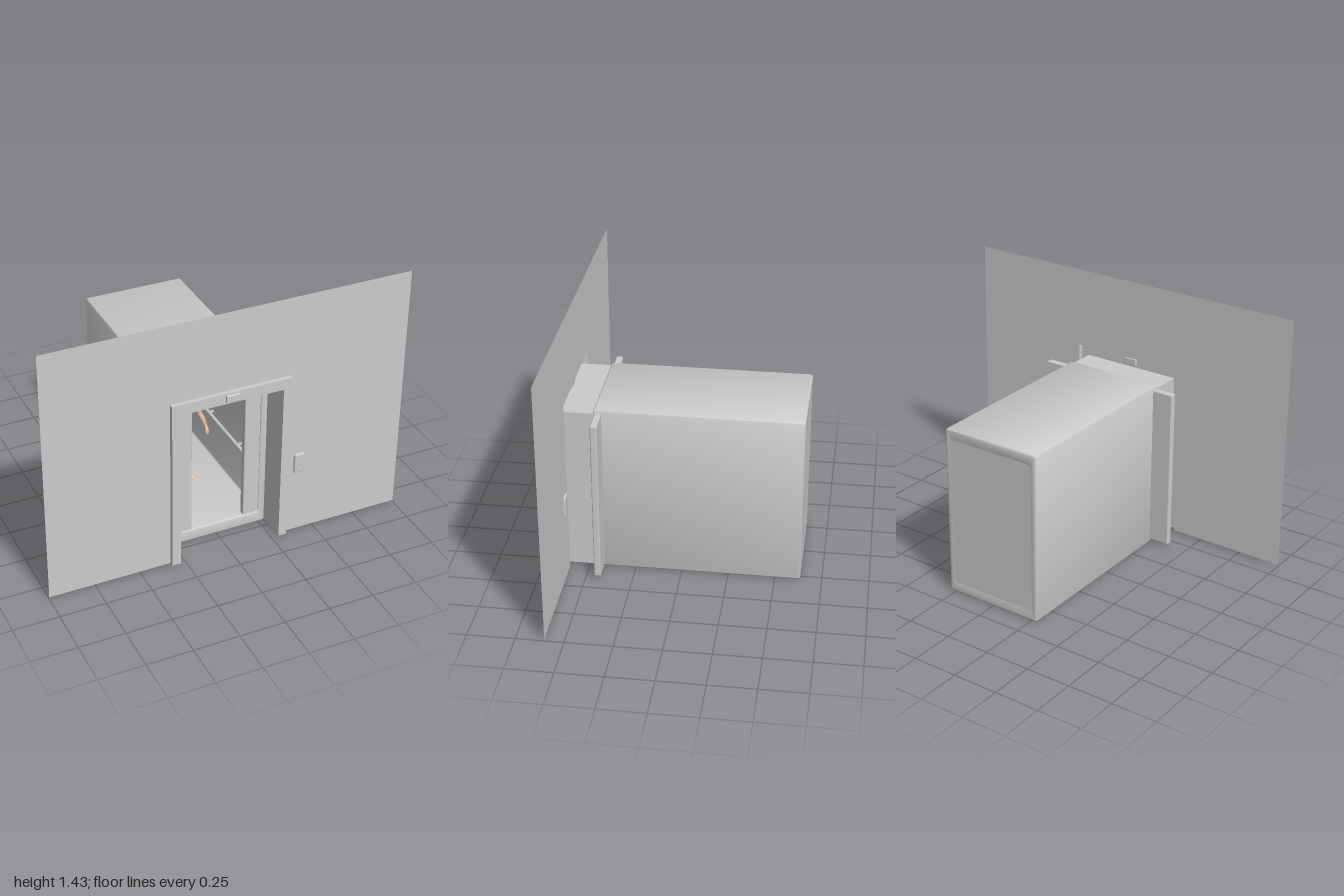
import * as THREE from 'three';
import { toCreasedNormals } from 'three/addons/utils/BufferGeometryUtils.js';
import { RoundedBoxGeometry } from 'three/addons/geometries/RoundedBoxGeometry.js';

const grey = new THREE.MeshStandardMaterial({ color: 0xcccccc });
const greyThin = new THREE.MeshStandardMaterial({ color: 0xcccccc, side: THREE.DoubleSide });
const skin = new THREE.MeshStandardMaterial({ color: 0xe3bda3 });

function add(parent, name, geometry, material = grey, x = 0, y = 0, z = 0) {
  const mesh = new THREE.Mesh(geometry, material);
  mesh.name = name;
  mesh.position.set(x, y, z);
  parent.add(mesh);
  return mesh;
}

// Rounded rectangle outline from its edges
function roundRect(x0, y0, x1, y1, r, Type = THREE.Shape) {
  const s = new Type();
  s.moveTo(x0 + r, y0);
  s.lineTo(x1 - r, y0);
  s.absarc(x1 - r, y0 + r, r, -Math.PI / 2, 0);
  s.lineTo(x1, y1 - r);
  s.absarc(x1 - r, y1 - r, r, 0, Math.PI / 2);
  s.lineTo(x0 + r, y1);
  s.absarc(x0 + r, y1 - r, r, Math.PI / 2, Math.PI);
  s.lineTo(x0, y0 + r);
  s.absarc(x0 + r, y0 + r, r, Math.PI, Math.PI * 1.5);
  return s;
}

// Flat sheet with a doorway cut up from its lower edge
function archSheet(w, h, holeW, holeH, y0) {
  const pts = [[-w, y0], [-holeW, y0], [-holeW, holeH], [holeW, holeH],
    [holeW, y0], [w, y0], [w, h], [-w, h]];
  return new THREE.ShapeGeometry(new THREE.Shape(pts.map(p => new THREE.Vector2(...p))));
}

// Three thin walls (left, top, right) running from z0 to z1
function archLining(parent, name, w, h, y0, z0, z1) {
  const depth = z1 - z0, zc = (z0 + z1) / 2;
  for (const s of [-1, 1]) {
    add(parent, name + 'Side', new THREE.PlaneGeometry(depth, h - y0), greyThin, s * w, (h + y0) / 2, zc)
      .rotation.y = s * Math.PI / 2;
  }
  add(parent, name + 'Top', new THREE.PlaneGeometry(2 * w, depth), greyThin, 0, h, zc)
    .rotation.x = -Math.PI / 2;
}

// Smooth skin over horizontal ellipses [x, y, z, rx, rz], listed from top to bottom
function loft(rings, seg = 20, sub = 4) {
  const at = (i, k) => rings[Math.max(0, Math.min(rings.length - 1, i))][k];
  const pos = [], idx = [];
  const rows = (rings.length - 1) * sub;
  for (let r = 0; r <= rows; r++) {
    const i = Math.min(Math.floor(r / sub), rings.length - 2), t = r / sub - i;
    const v = [0, 1, 2, 3, 4].map(k => {
      const a = at(i - 1, k), b = at(i, k), c = at(i + 1, k), d = at(i + 2, k);
      return b + 0.5 * t * (c - a + t * (2 * a - 5 * b + 4 * c - d + t * (3 * (b - c) + d - a)));
    });
    const rx = Math.max(v[3], 0.0005), rz = Math.max(v[4], 0.0005);
    for (let j = 0; j < seg; j++) {
      const a = j / seg * Math.PI * 2;
      pos.push(v[0] + rx * Math.cos(a), v[1], v[2] + rz * Math.sin(a));
      if (r < rows) {
        const p = r * seg + j, q = r * seg + (j + 1) % seg;
        idx.push(p, q, p + seg, q, q + seg, p + seg);
      }
    }
  }
  const g = new THREE.BufferGeometry();
  g.setAttribute('position', new THREE.Float32BufferAttribute(pos, 3));
  g.setIndex(idx);
  g.computeVertexNormals();
  return g;
}

function buildCar() {
  const car = new THREE.Group();
  car.name = 'elevatorCar';
  // Hollow cabin, open at the front
  const b = 0.01;
  const shell = roundRect(-0.285, 0, 0.285, 0.945, 0.015);
  shell.holes.push(roundRect(-0.245, 0.07, 0.245, 0.88, 0.015, THREE.Path));
  const shellGeo = new THREE.ExtrudeGeometry(shell, {
    depth: 1.093 - 2 * b, bevelThickness: b, bevelSize: b, bevelOffset: -b, bevelSegments: 3, curveSegments: 5,
  });
  add(car, 'cabinShell', toCreasedNormals(shellGeo, 0.7), grey, 0, 0, -0.635 + b);
  add(car, 'cabinBackWall', new THREE.BoxGeometry(0.51, 0.83, 0.04), grey, 0, 0.475, -0.615);

  // Sliding doors, half open
  for (const x of [-0.272, 0.29]) {
    add(car, 'slidingDoor', new RoundedBoxGeometry(0.262, 0.905, 0.036, 3, 0.007), grey, x, 0.4725, 0.434);
  }

  // Handrail round three walls
  const rail = new THREE.Group();
  rail.name = 'handrail';
  car.add(rail);
  const y = 0.38, rx = 0.215, zBack = -0.565, zFront = 0.33;
  add(rail, 'backRail', new THREE.CylinderGeometry(0.01, 0.01, 2 * rx, 12), grey, 0, y, zBack).rotation.z = Math.PI / 2;
  for (const s of [-1, 1]) {
    add(rail, 'sideRail', new THREE.CylinderGeometry(0.01, 0.01, zFront - zBack, 12), grey, s * rx, y, (zFront + zBack) / 2)
      .rotation.x = Math.PI / 2;
    add(rail, 'railCorner', new THREE.SphereGeometry(0.01, 12, 8), grey, s * rx, y, zBack);
    for (const z of [-0.45, -0.1, 0.25]) {
      add(rail, 'railBracket', new THREE.BoxGeometry(0.035, 0.01, 0.01), grey, s * 0.23, y, z);
    }
    add(rail, 'railBracket', new THREE.BoxGeometry(0.01, 0.01, 0.035), grey, s * 0.15, y, -0.58);
  }
  return car;
}

function buildEntrance() {
  const entrance = new THREE.Group();
  entrance.name = 'entrance';
  add(entrance, 'lobbyWall', archSheet(1, 1.43, 0.33, 0.985, 0.01), greyThin, 0, 0, 0.6);
  // Raised trim and the passage to the car
  add(entrance, 'doorTrim', archSheet(0.33, 0.985, 0.284, 0.925, 0.01), greyThin, 0, 0, 0.625);
  archLining(entrance, 'trimEdge', 0.33, 0.985, 0.01, 0.6, 0.625);
  archLining(entrance, 'passage', 0.284, 0.925, 0.01, 0.45, 0.625);

  // Floor indicator above the doorway
  add(entrance, 'indicatorBox', new RoundedBoxGeometry(0.074, 0.04, 0.024, 2, 0.004), grey, -0.002, 0.956, 0.625);
  const arrow = (name, x, y, z, size, down) => {
    add(entrance, name, new THREE.CylinderGeometry(size, size, 0.004, 3), grey, x, y, z)
      .rotation.set(Math.PI / 2, down ? 0 : Math.PI, 0);
  };
  arrow('indicatorArrow', -0.002, 0.956, 0.637, 0.009, false);

  // Call buttons
  add(entrance, 'callPanel', new RoundedBoxGeometry(0.058, 0.115, 0.024, 3, 0.008), grey, 0.4, 0.438, 0.602);
  arrow('upButton', 0.4, 0.463, 0.614, 0.011, false);
  arrow('downButton', 0.4, 0.422, 0.614, 0.011, true);
  return entrance;
}

function buildPassenger() {
  const body = new THREE.Group();
  body.name = 'passenger';
  add(body, 'head', loft([[0, 0.685, -0.004, 0, 0], [0, 0.68, -0.004, 0.017, 0.022], [0, 0.662, -0.003, 0.028, 0.036],
    [0, 0.635, 0, 0.03, 0.039], [0, 0.61, 0.005, 0.025, 0.034], [0, 0.594, 0.012, 0.015, 0.024], [0, 0.588, 0.012, 0, 0]]), skin);
  add(body, 'nose', new THREE.SphereGeometry(0.007, 10, 8), skin, 0, 0.628, 0.038).scale.set(0.8, 1.5, 1.2);
  add(body, 'torso', loft([[0, 0.62, -0.008, 0.018, 0.02], [0, 0.592, -0.008, 0.021, 0.021], [0, 0.578, -0.008, 0.038, 0.025],
    [0, 0.56, -0.006, 0.072, 0.034], [0, 0.52, 0, 0.07, 0.045], [0, 0.48, 0, 0.058, 0.042], [0, 0.44, 0, 0.048, 0.036],
    [0, 0.4, -0.003, 0.054, 0.04], [0, 0.37, -0.006, 0.056, 0.044], [0, 0.348, -0.004, 0.03, 0.03], [0, 0.342, 0, 0, 0]]), skin);
  for (const s of [-1, 1]) {
    add(body, 'ear', new THREE.SphereGeometry(0.008, 8, 8), skin, s * 0.031, 0.633, -0.004).scale.set(0.4, 1.2, 0.8);
    add(body, 'arm', loft([[s * 0.064, 0.577, -0.006, 0, 0], [s * 0.067, 0.569, -0.006, 0.018, 0.02],
      [s * 0.078, 0.535, -0.006, 0.02, 0.023], [s * 0.094, 0.495, -0.007, 0.019, 0.02], [s * 0.108, 0.465, -0.006, 0.017, 0.017],
      [s * 0.125, 0.43, 0, 0.017, 0.016], [s * 0.141, 0.385, 0.008, 0.011, 0.011], [s * 0.147, 0.362, 0.012, 0.011, 0.017],
      [s * 0.151, 0.338, 0.015, 0.009, 0.016], [s * 0.15, 0.322, 0.016, 0.005, 0.01], [s * 0.149, 0.318, 0.016, 0, 0]], 14), skin);
    add(body, 'thumb', loft([[s * 0.142, 0.365, 0.02, 0.005, 0.006], [s * 0.139, 0.35, 0.032, 0.005, 0.006],
      [s * 0.138, 0.336, 0.036, 0.003, 0.004], [s * 0.138, 0.334, 0.036, 0, 0]], 8), skin);
    add(body, 'leg', loft([[s * 0.028, 0.4, -0.004, 0.024, 0.03], [s * 0.03, 0.36, -0.004, 0.029, 0.037],
      [s * 0.034, 0.31, 0, 0.028, 0.034], [s * 0.039, 0.255, 0.002, 0.022, 0.026], [s * 0.042, 0.225, 0.002, 0.019, 0.021],
      [s * 0.046, 0.185, -0.006, 0.021, 0.024], [s * 0.049, 0.14, -0.01, 0.015, 0.018], [s * 0.051, 0.1, -0.012, 0.012, 0.015],
      [s * 0.053, 0.086, -0.002, 0.015, 0.028], [s * 0.055, 0.075, 0.012, 0.018, 0.044], [s * 0.055, 0.07, 0.012, 0.016, 0.042],
      [s * 0.055, 0.07, 0.012, 0, 0]]), skin);
  }
  return body;
}

export function createModel() {
  const model = new THREE.Group();
  model.name = 'elevator';
  model.add(buildCar(), buildEntrance(), buildPassenger());
  return model;
}
